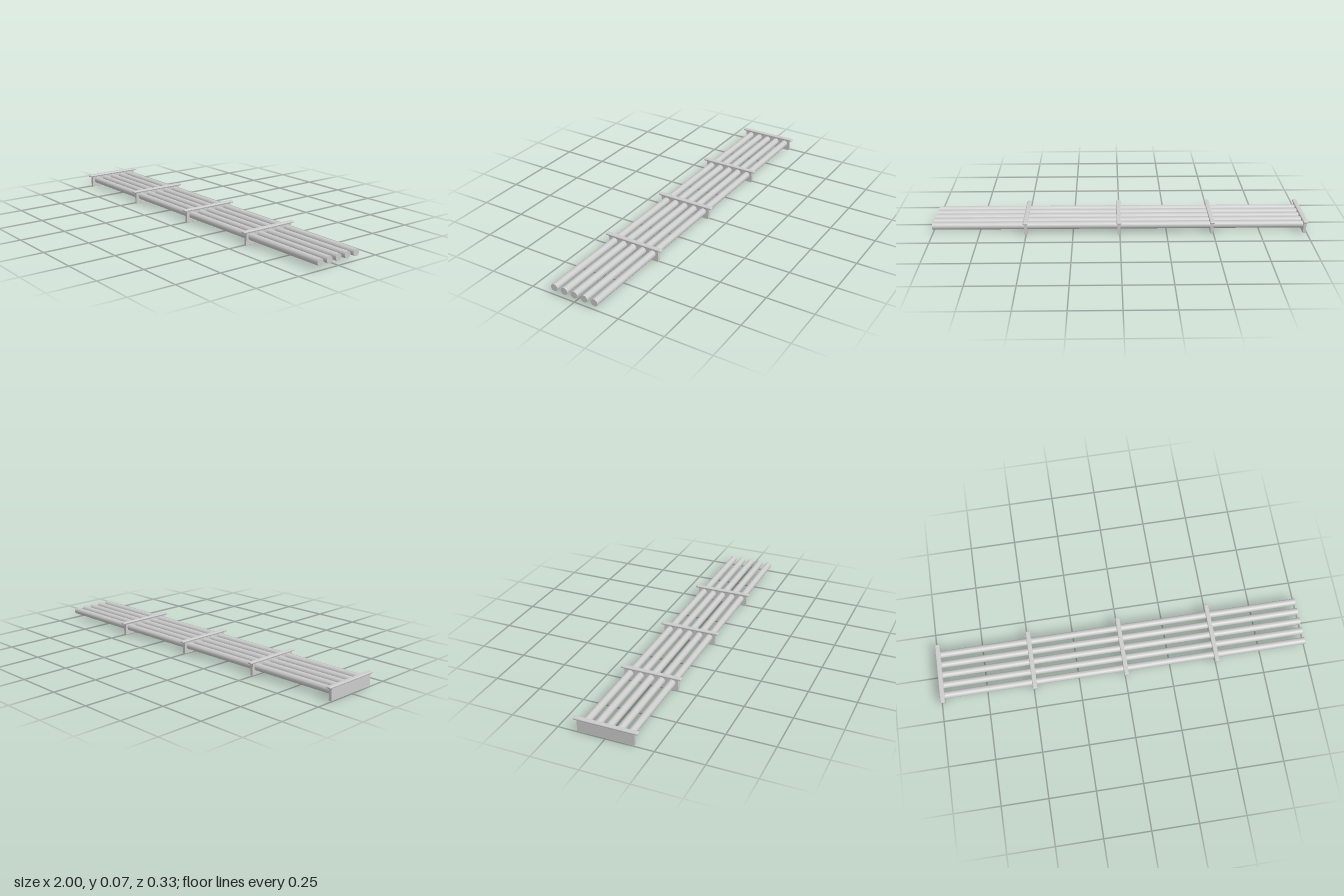
import * as THREE from 'three';
import { RoundedBoxGeometry } from 'three/addons/geometries/RoundedBoxGeometry.js';

export function createModel() {
  const model = new THREE.Group();
  model.name = 'pipeRack';
  const material = new THREE.MeshStandardMaterial({ color: 0xcccccc });

  const add = (parent, name, geometry, x, y, z) => {
    const mesh = new THREE.Mesh(geometry, material);
    mesh.name = name;
    mesh.position.set(x, y, z);
    parent.add(mesh);
    return mesh;
  };

  // Five parallel pipes running along x, closed at both ends
  const pipeStart = -0.987, pipeEnd = 1;
  const pipeGeometry = new THREE.CylinderGeometry(0.0188, 0.0188, pipeEnd - pipeStart, 32);
  pipeGeometry.rotateZ(Math.PI / 2);
  for (let i = -2; i <= 2; i++) {
    add(model, 'pipe', pipeGeometry, (pipeStart + pipeEnd) / 2, 0.04, i * 0.0582);
  }

  // Four upright cross plates, each with a wider rounded rail on top
  const plateGeometry = new THREE.BoxGeometry(0.015, 0.065, 0.298);
  const railGeometry = new RoundedBoxGeometry(0.025, 0.011, 0.333, 4, 0.005);
  for (let i = 0; i < 4; i++) {
    const support = new THREE.Group();
    support.name = 'support';
    support.position.x = -0.9875 + i * 0.4965;
    add(support, 'crossPlate', plateGeometry, 0, 0.0325, 0);
    add(support, 'topRail', railGeometry, 0, 0.0677, 0);
    model.add(support);
  }

  return model;
}
